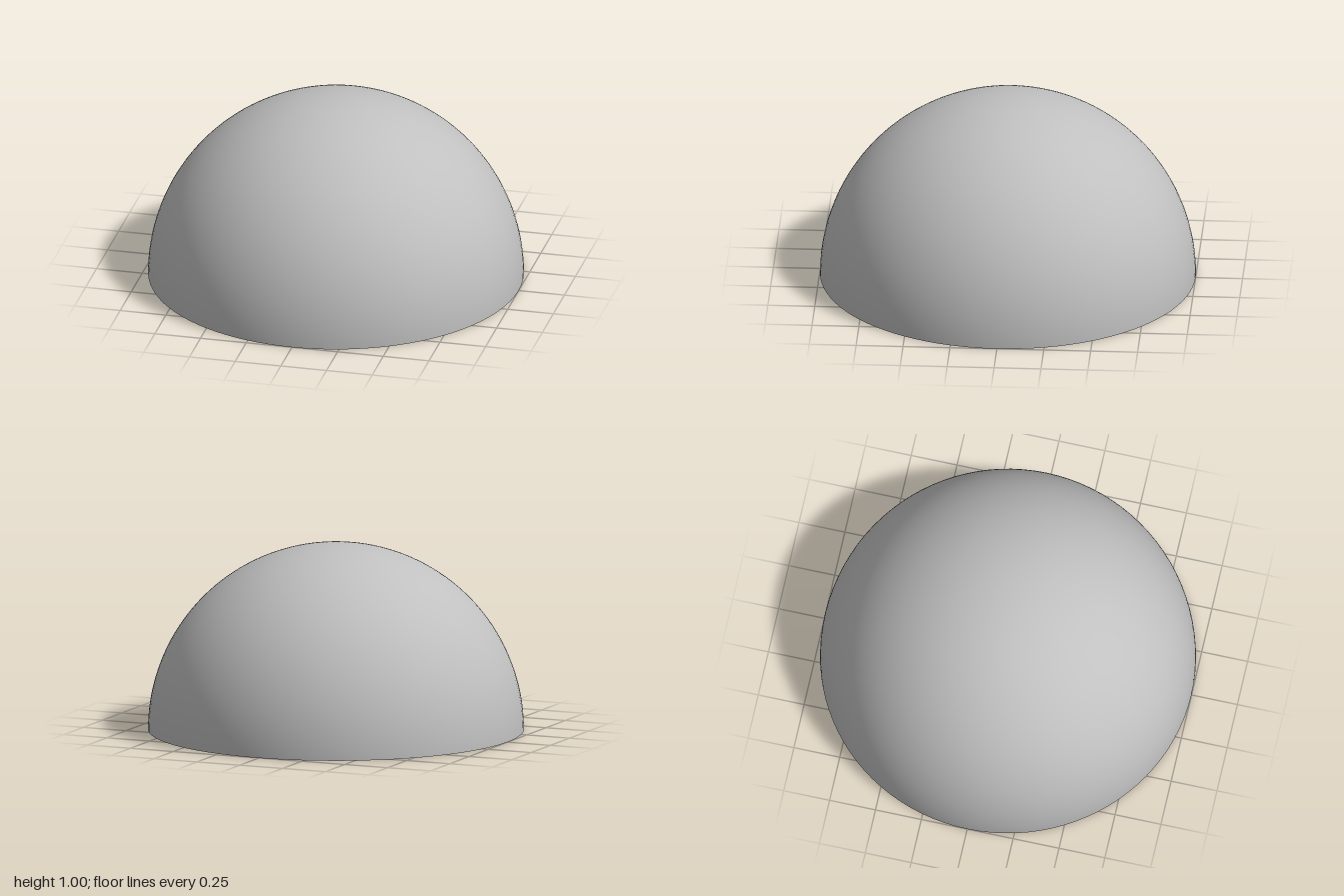
import * as THREE from 'three';

const SEGMENTS = 96;
const CAVITY_RADIUS = 0.75, LIP_HEIGHT = 0.1, CONE_TOP = 0.75;
const HOLE_RADIUS = 0.105, HOLE_DEPTH = 0.15, HOLE_RING = 0.875;

export function createModel() {
  const grey = new THREE.MeshStandardMaterial({ color: 0xc0c0c0 });
  grey.name = 'plain grey';
  const model = new THREE.Group();
  model.name = 'hollowDome';

  const add = (name, geometry, parent = model) => {
    const mesh = new THREE.Mesh(geometry, grey);
    mesh.name = name;
    parent.add(mesh);
    return mesh;
  };
  // Profiles run from the top down, so these surfaces face inward
  const inner = (points, segments = SEGMENTS) =>
    new THREE.LatheGeometry(points.map(([r, y]) => new THREE.Vector2(r, y)), segments);

  // Outer hemisphere
  add('dome', new THREE.SphereGeometry(1, SEGMENTS, 48, 0, Math.PI * 2, 0, Math.PI / 2));

  // Cavity: a short straight lip, then a cone
  add('cavityLip', inner([[CAVITY_RADIUS, LIP_HEIGHT], [CAVITY_RADIUS, 0]]));
  add('cavityCone', inner([[0, CONE_TOP], [CAVITY_RADIUS, LIP_HEIGHT]]));

  // Flat underside ring, pierced by the cavity and three blind holes
  const ring = new THREE.Shape().absarc(0, 0, 1, 0, Math.PI * 2, false);
  ring.holes.push(new THREE.Path().absarc(0, 0, CAVITY_RADIUS, 0, Math.PI * 2, true));
  for (let i = 0; i < 3; i++) {
    const angle = Math.PI / 3 + (i * Math.PI * 2) / 3;
    const x = HOLE_RING * Math.cos(angle), z = HOLE_RING * Math.sin(angle);
    ring.holes.push(new THREE.Path().absarc(x, z, HOLE_RADIUS, 0, Math.PI * 2, true));

    const hole = new THREE.Group();
    hole.name = 'blindHole';
    hole.position.set(x, 0, z);
    add('holeWall', inner([[HOLE_RADIUS, HOLE_DEPTH], [HOLE_RADIUS, 0]], 48), hole);
    add('holeEnd', inner([[0, HOLE_DEPTH], [HOLE_RADIUS, HOLE_DEPTH]], 48), hole);
    model.add(hole);
  }
  add('undersideRing', new THREE.ShapeGeometry(ring, SEGMENTS)).rotation.x = Math.PI / 2;

  return model;
}
